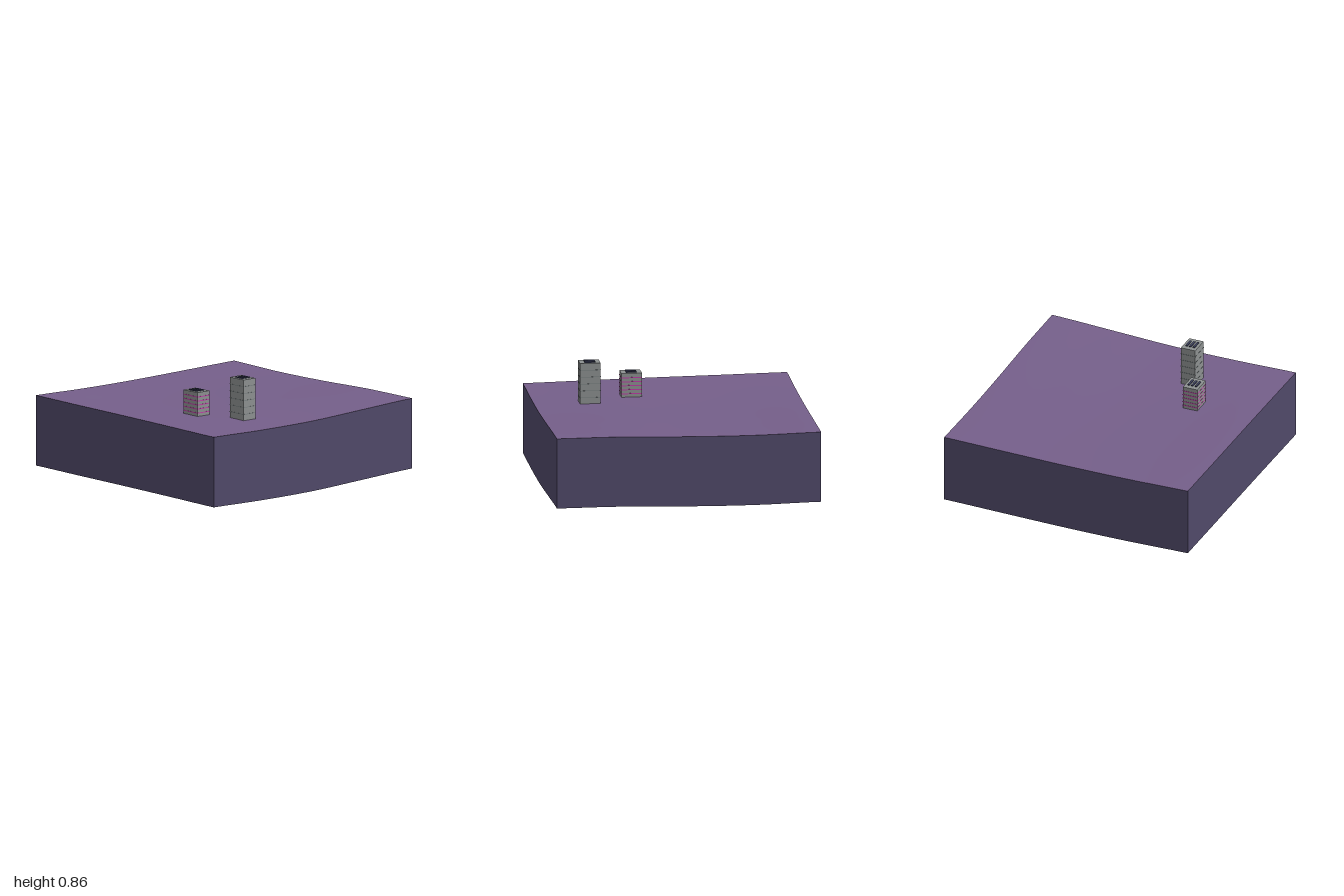
import * as THREE from 'three';

const mat = (name, color, side = THREE.FrontSide) => {
  const m = new THREE.MeshStandardMaterial({ color, side });
  m.name = name;
  return m;
};

// Rolling ground height, blended from the four edge profiles
const DEPTH = 0.537;
const curve = (ys) => new THREE.SplineCurve(ys.map((y, i) => new THREE.Vector2(i / 2 - 1, y)));
const front = curve([0.547, 0.538, 0.54, 0.56, 0.58]);
const back = curve([0.573, 0.562, 0.56, 0.566, 0.573]);
const left = curve([0.573, 0.567, 0.562, 0.555, 0.547]); // x = -1, from back to front
const right = curve([0.573, 0.563, 0.567, 0.58, 0.58]);  // x = +1, from back to front
const clamp = (t) => THREE.MathUtils.clamp(t, 0, 1);
const lerp = THREE.MathUtils.lerp;

function heightAt(x, z) {
  const u = clamp((x + 1) / 2), v = clamp((z + 1) / 2);
  const alongZ = lerp(back.getPoint(u).y, front.getPoint(u).y, v);
  const alongX = lerp(left.getPoint(v).y, right.getPoint(v).y, u);
  const corners = lerp(lerp(0.573, 0.573, u), lerp(0.547, 0.58, u), v);
  return alongZ + alongX - corners;
}

export function createModel() {
  const model = new THREE.Group();
  model.name = 'terrainTile';

  const groundMat = mat('purple ground', 0x755f8a, THREE.DoubleSide);
  const skirtMat = mat('dark violet', 0x504969, THREE.DoubleSide);
  const wallMat = mat('concrete grey', 0x8d9191);
  const pinkMat = mat('magenta windows', 0xc03aa8);
  const tealMat = mat('grey teal windows', 0x747c7e);
  const ventMat = mat('navy vents', 0x3f4360);

  const add = (parent, name, geometry, material, x = 0, y = 0, z = 0) => {
    const mesh = new THREE.Mesh(geometry, material);
    mesh.name = name;
    mesh.position.set(x, y, z);
    parent.add(mesh);
    return mesh;
  };

  // Ground surface
  const ground = new THREE.PlaneGeometry(2, 2, 32, 32).rotateX(-Math.PI / 2);
  const gp = ground.attributes.position;
  for (let i = 0; i < gp.count; i++) gp.setY(i, heightAt(gp.getX(i), gp.getZ(i)));
  ground.computeVertexNormals();
  add(model, 'ground', ground, groundMat);

  // Four skirt walls, open underneath, whose lower edge follows the ground
  ['front', 'left', 'back', 'right'].forEach((side, k) => {
    const wall = new THREE.PlaneGeometry(2, 1, 32, 1).translate(0, 0, 1).rotateY(k * Math.PI / 2);
    const p = wall.attributes.position;
    for (let i = 0; i < p.count; i++) {
      p.setY(i, heightAt(p.getX(i), p.getZ(i)) - (p.getY(i) > 0 ? 0 : DEPTH));
    }
    wall.computeVertexNormals();
    add(model, side + 'Skirt', wall, skirtMat);
  });

  // Towers with window bands and three roof vents
  function tower(name, x, z, top, bandMat, bandHeight, bands) {
    const g = new THREE.Group();
    g.name = name;
    g.position.set(x, 0, z);
    const base = heightAt(x, z) - 0.003;
    const w = 0.118, d = 0.156;
    add(g, 'towerBody', new THREE.BoxGeometry(w, top - base, d), wallMat, 0, (top + base) / 2, 0);
    for (const y of bands) {
      add(g, 'windowBand', new THREE.BoxGeometry(w + 0.003, bandHeight, d + 0.003), bandMat, 0, y, 0);
    }
    for (const i of [-1, 0, 1]) {
      add(g, 'roofVent', new THREE.BoxGeometry(0.016, 0.008, 0.08), ventMat, i * 0.03, top + 0.003, 0);
    }
    model.add(g);
  }
  tower('shortTower', -0.5, 0.248, 0.73, pinkMat, 0.007, [0.573, 0.604, 0.635, 0.665, 0.696]);
  tower('tallTower', -0.335, 0.582, 0.854, tealMat, 0.004, [0.59, 0.643, 0.696, 0.749, 0.802]);

  return model;
}
